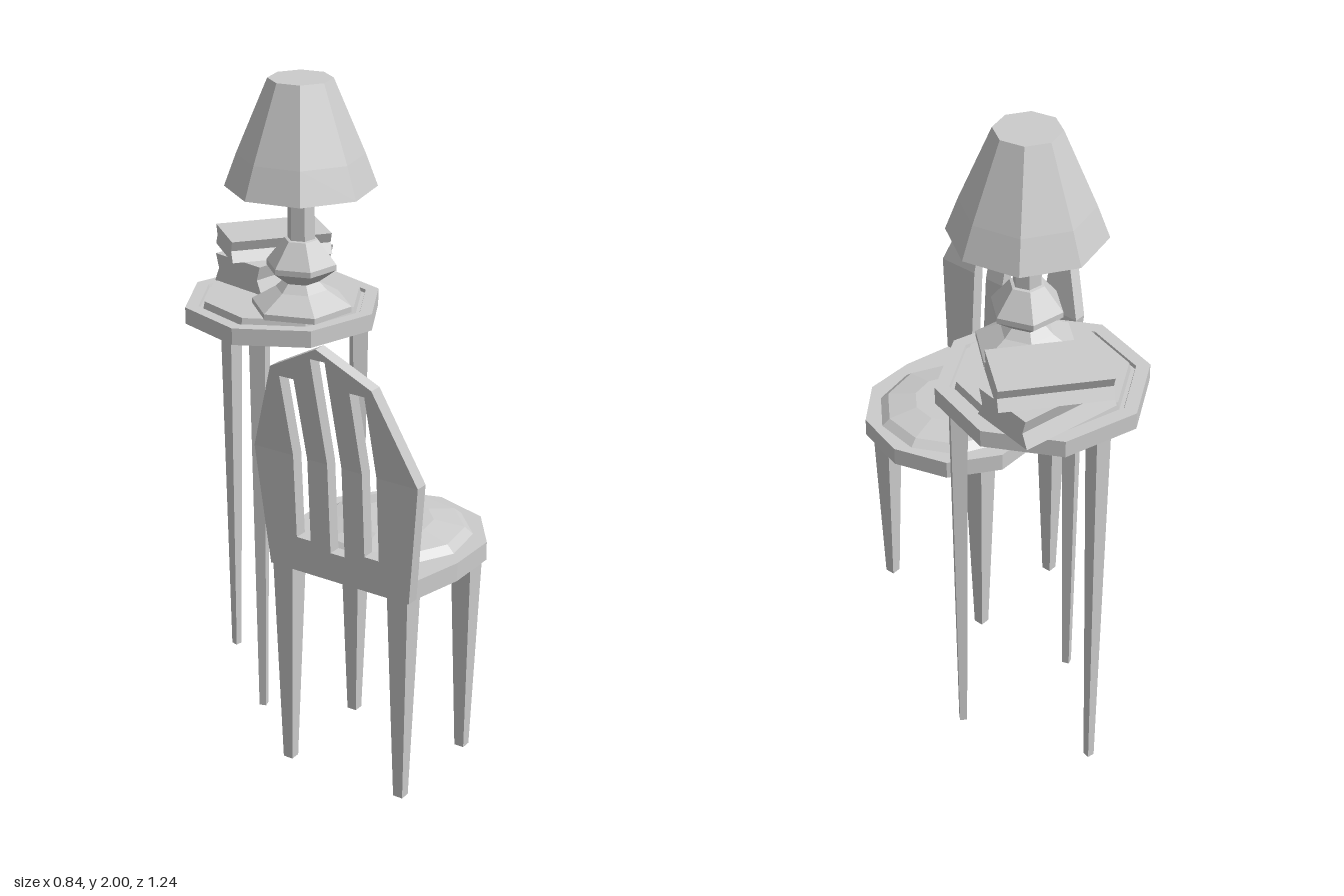
import * as THREE from 'three';

const mat = new THREE.MeshStandardMaterial({ color: 0xcccccc, flatShading: true });

function add(parent, geometry, name, x = 0, y = 0, z = 0, turn = 0) {
  const mesh = new THREE.Mesh(geometry, mat);
  mesh.name = name;
  mesh.position.set(x, y, z);
  mesh.rotation.y = turn;
  parent.add(mesh);
  return mesh;
}

function group(parent, name, x = 0, z = 0, turn = 0) {
  const g = new THREE.Group();
  g.name = name;
  g.position.set(x, 0, z);
  g.rotation.y = turn;
  parent.add(g);
  return g;
}

const vectors = (points) => points.map(([x, y]) => new THREE.Vector2(x, y));
const mirrored = (points) => points.map(([x, y]) => [-x, y]).reverse();
const lathe = (points, sides, start = 0) => new THREE.LatheGeometry(vectors(points), sides, start);
const extrude = (points, depth) =>
  new THREE.ExtrudeGeometry(new THREE.Shape(vectors(points)), { depth, bevelEnabled: false });

// Square leg, tapering downwards, standing on its origin
function legGeometry(top, bottom, height) {
  const g = new THREE.CylinderGeometry(top * Math.SQRT1_2, bottom * Math.SQRT1_2, height, 4, 1, false, Math.PI / 4);
  return g.translate(0, height / 2, 0);
}

// Backrest lean: z of the front face at the bend heights
const LEAN = [[0.70, -0.244], [1.07, -0.267], [1.355, -0.337], [1.445, -0.358]];
function lean(y) {
  let i = 0;
  while (i < LEAN.length - 2 && y > LEAN[i + 1][0]) i++;
  const [y0, z0] = LEAN[i], [y1, z1] = LEAN[i + 1];
  return z0 + (z1 - z0) * (y - y0) / (y1 - y0);
}

function backPanel(points) {
  const g = extrude(points, 0.04);
  const p = g.attributes.position;
  for (let i = 0; i < p.count; i++) p.setZ(i, p.getZ(i) - 0.04 + lean(p.getY(i)));
  g.computeVertexNormals();
  return g;
}

function buildChair(root) {
  const chair = group(root, 'chair', -0.02, 0.292, Math.PI / 2 + 0.187);

  // Seat plate with a flat rear edge
  const half = [[0.168, 0.22], [0.271, 0.08], [0.271, -0.084], [0.235, -0.244]];
  const outline = [[0, 0.271], ...half, ...mirrored(half)];
  add(chair, extrude(outline, 0.057).rotateX(Math.PI / 2), 'seat', 0, 0.757, 0);

  // Domed cushion
  add(chair, lathe([[0.237, 0.755], [0.21, 0.778], [0.12, 0.796], [0, 0.796]], 10, 0.15), 'cushion');

  // Backrest in three bent bands, pierced by three slots
  const back = group(chair, 'backrest');
  const slots = [[0.115, 0.81], [0, 0.79], [-0.115, 0.81]];
  const s = 0.024, bend = 1.07, shoulder = 1.355;
  const notches = slots.flatMap(([x, y]) => [[x + s, bend], [x + s, y], [x - s, y], [x - s, bend]]);
  add(back, backPanel([[-0.235, 0.70], [0.235, 0.70], [0.272, bend], ...notches, [-0.272, bend]]), 'backLower');
  const side = [
    [s, bend], [0.115 - s, bend], [0.115 - s, 1.33], [0.115 + s, 1.33], [0.115 + s, bend],
    [0.272, bend], [0.165, shoulder], [s, shoulder],
  ];
  add(back, backPanel(side), 'backMiddleLeft');
  add(back, backPanel(mirrored(side)), 'backMiddleRight');
  add(back, backPanel([
    [s, shoulder], [0.165, shoulder], [0, 1.445], [-0.165, shoulder], [-s, shoulder], [-s, 1.41], [s, 1.41],
  ]), 'backTop');

  // Four legs
  for (const x of [-0.195, 0.195])
    for (const z of [-0.248, 0.097])
      add(chair, legGeometry(0.068, 0.031, 0.66), 'chairLeg', x, 0.05, z);
}

function buildTable(root) {
  const table = group(root, 'sideTable', 0.123, -0.313);

  // Octagonal top: rim, thin groove and raised centre
  add(table, lathe([
    [0, 1.234], [0.306, 1.234], [0.306, 1.286], [0.265, 1.286], [0.262, 1.276],
    [0.25, 1.276], [0.245, 1.299], [0, 1.299],
  ], 8, THREE.MathUtils.degToRad(16.5)), 'tableTop');

  // Three slender legs
  for (let i = 0; i < 3; i++) {
    const a = THREE.MathUtils.degToRad(31 + 120 * i);
    add(table, legGeometry(0.05, 0.022, 1.25), 'tableLeg', 0.24 * Math.cos(a), 0, 0.24 * Math.sin(a), -a);
  }
}

function buildLamp(root) {
  const lamp = group(root, 'lamp', 0.08, -0.188);

  // Six-sided foot, bulb-shaped body and stem
  add(lamp, lathe([
    [0, 1.297], [0.155, 1.297], [0.155, 1.315], [0.08, 1.36], [0.055, 1.385], [0.108, 1.425],
    [0.108, 1.442], [0.052, 1.515], [0.042, 1.517], [0.04, 1.97], [0, 1.97],
  ], 6, Math.PI / 2), 'lampBase');

  // Eight-sided hollow shade with a closed top
  add(lamp, lathe([
    [0, 1.98], [0.083, 1.98], [0.175, 1.775], [0.21, 1.677],
    [0.226, 1.677], [0.19, 1.775], [0.096, 2], [0, 2],
  ], 8), 'lampShade');
}

// Book with hollowed long edges
function bookGeometry(height) {
  const edge = [[0.104, 0], [0.085, height / 2], [0.098, height]];
  return extrude([...edge, ...mirrored(edge)], 0.317).translate(0, 0, -0.1585).rotateY(Math.PI / 2);
}

function buildBooks(root) {
  const books = group(root, 'books');
  add(books, bookGeometry(0.089), 'lowerBook', 0.224, 1.298, -0.452);
  add(books, bookGeometry(0.065), 'upperBook', 0.224, 1.387, -0.457, -0.495);
}

export function createModel() {
  const root = new THREE.Group();
  root.name = 'chairAndSideTable';
  buildChair(root);
  buildTable(root);
  buildLamp(root);
  buildBooks(root);
  return root;
}
